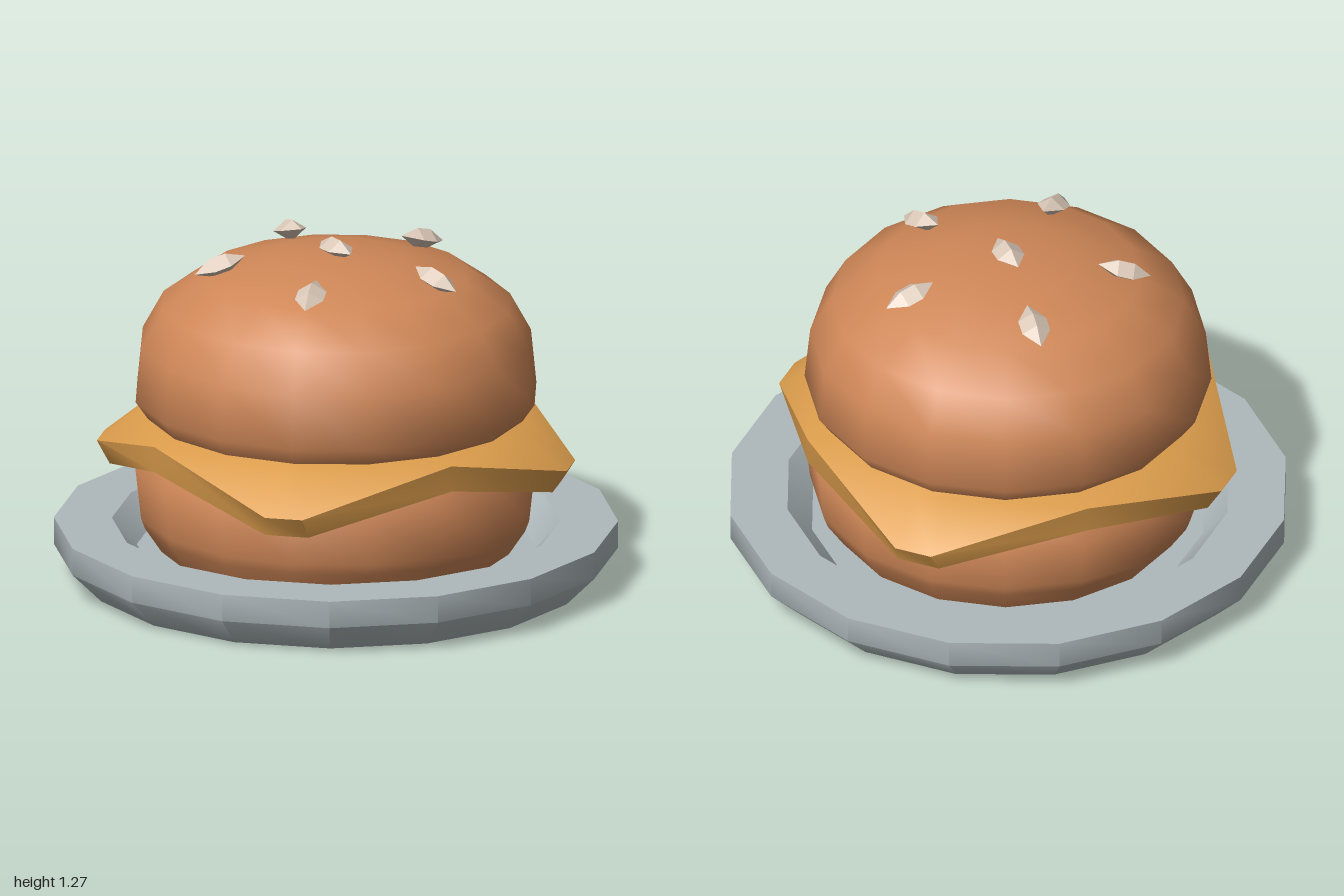
import * as THREE from 'three';
import { toCreasedNormals } from 'three/addons/utils/BufferGeometryUtils.js';

const mat = (name, color) => new THREE.MeshStandardMaterial({ name, color });

function part(name, geometry, material) {
  const mesh = new THREE.Mesh(geometry, material);
  mesh.name = name;
  return mesh;
}

// Sixteen-sided turned shape from [radius, y] points, bottom to top
function turned(points, crease, start = 0) {
  const profile = points.map(([r, y]) => new THREE.Vector2(r, y));
  return toCreasedNormals(new THREE.LatheGeometry(profile, 16, start), crease);
}

// One ring of the cheese slice: four drooping corners joined by raised mid-sides
function cheeseRing(tip, halfWidth, tipY, mid, midY) {
  const ring = [];
  for (let k = 0; k < 4; k++) {
    const c = Math.round(Math.cos(k * Math.PI / 2)), s = Math.round(Math.sin(k * Math.PI / 2));
    for (const [x, y, z] of [[tip, tipY, -halfWidth], [tip, tipY, halfWidth], [mid, midY, mid]]) {
      ring.push([x * c - z * s, y, x * s + z * c]);
    }
  }
  return ring;
}

function cheeseGeometry() {
  const rings = [
    cheeseRing(0, 0, 0.61, 0, 0.61),          // top centre
    cheeseRing(0.7, 0.06, 0.61, 0.55, 0.61),  // top fold
    cheeseRing(0.87, 0.07, 0.47, 0.55, 0.61), // top edge
    cheeseRing(0.82, 0.08, 0.39, 0.55, 0.515), // bottom edge
    cheeseRing(0.65, 0.06, 0.515, 0.55, 0.515), // bottom fold
    cheeseRing(0, 0, 0.515, 0, 0.515)         // bottom centre
  ];
  const positions = [];
  for (let i = 0; i < rings.length - 1; i++) {
    for (let j = 0; j < 12; j++) {
      const n = (j + 1) % 12;
      const a = rings[i][j], b = rings[i][n], c = rings[i + 1][j], d = rings[i + 1][n];
      positions.push(...a, ...b, ...c, ...b, ...d, ...c);
    }
  }
  const geometry = new THREE.BufferGeometry();
  geometry.setAttribute('position', new THREE.Float32BufferAttribute(positions, 3));
  return toCreasedNormals(geometry, 0.75);
}

// Faceted, pointed seed lying along z with a ridge on top
function seedGeometry() {
  const profile = [[0, -0.1], [0.052, -0.03], [0.052, 0.03], [0, 0.1]].map(([r, y]) => new THREE.Vector2(r, y));
  const geometry = new THREE.LatheGeometry(profile, 4).rotateX(Math.PI / 2).scale(1, 0.68, 1).toNonIndexed();
  geometry.computeVertexNormals();
  return geometry;
}

export function createModel() {
  const plateGrey = mat('plate grey', 0xafb9bc);
  const bunBrown = mat('bun brown', 0xcf8757);
  const cheeseYellow = mat('cheese yellow', 0xdc9d4c);
  const seedCream = mat('seed cream', 0xdac8b8);
  const model = new THREE.Group();
  model.name = 'burgerOnPlate';

  // Plate with a chamfered foot and a shallow well
  model.add(part('plate', turned([
    [0, 0], [0.91, 0], [1.02, 0.11], [1.02, 0.21], [0.81, 0.21], [0.72, 0.11], [0, 0.11]
  ], 0.79, Math.PI / 16), plateGrey));

  // Buns
  model.add(part('bottomBun', turned([
    [0, 0.12], [0.64, 0.12], [0.7, 0.21], [0.715, 0.25], [0.735, 0.43], [0.69, 0.5], [0, 0.5]
  ], 0.9), bunBrown));
  model.add(part('topBun', turned([
    [0, 0.625], [0.69, 0.625], [0.735, 0.69], [0.715, 0.89], [0.638, 1.03],
    [0.48, 1.14], [0.25, 1.2], [0, 1.22]
  ], 0.9), bunBrown));

  // Cheese slice
  model.add(part('cheese', cheeseGeometry(), cheeseYellow));

  // Seeds point outward and lean with the bun; the middle one lies flat
  const seedShape = seedGeometry();
  const seeds = new THREE.Group();
  seeds.name = 'seeds';
  const spots = [
    [0, 1.235, 0, Math.PI / 4, 0], [0, 1.18, 0.42, 0, 0.3],
    [0.4, 1.183, 0.135, 1.1, 0.3], [-0.4, 1.183, 0.135, -1.1, 0.3],
    [0.245, 1.19, -0.33, 2.47, 0.27], [-0.245, 1.19, -0.33, -2.47, 0.27]
  ];
  for (const [x, y, z, turn, lean] of spots) {
    const seed = part('seed', seedShape, seedCream);
    seed.position.set(x, y, z);
    seed.rotation.set(lean, turn, 0, 'YXZ');
    seeds.add(seed);
  }
  model.add(seeds);
  return model;
}
